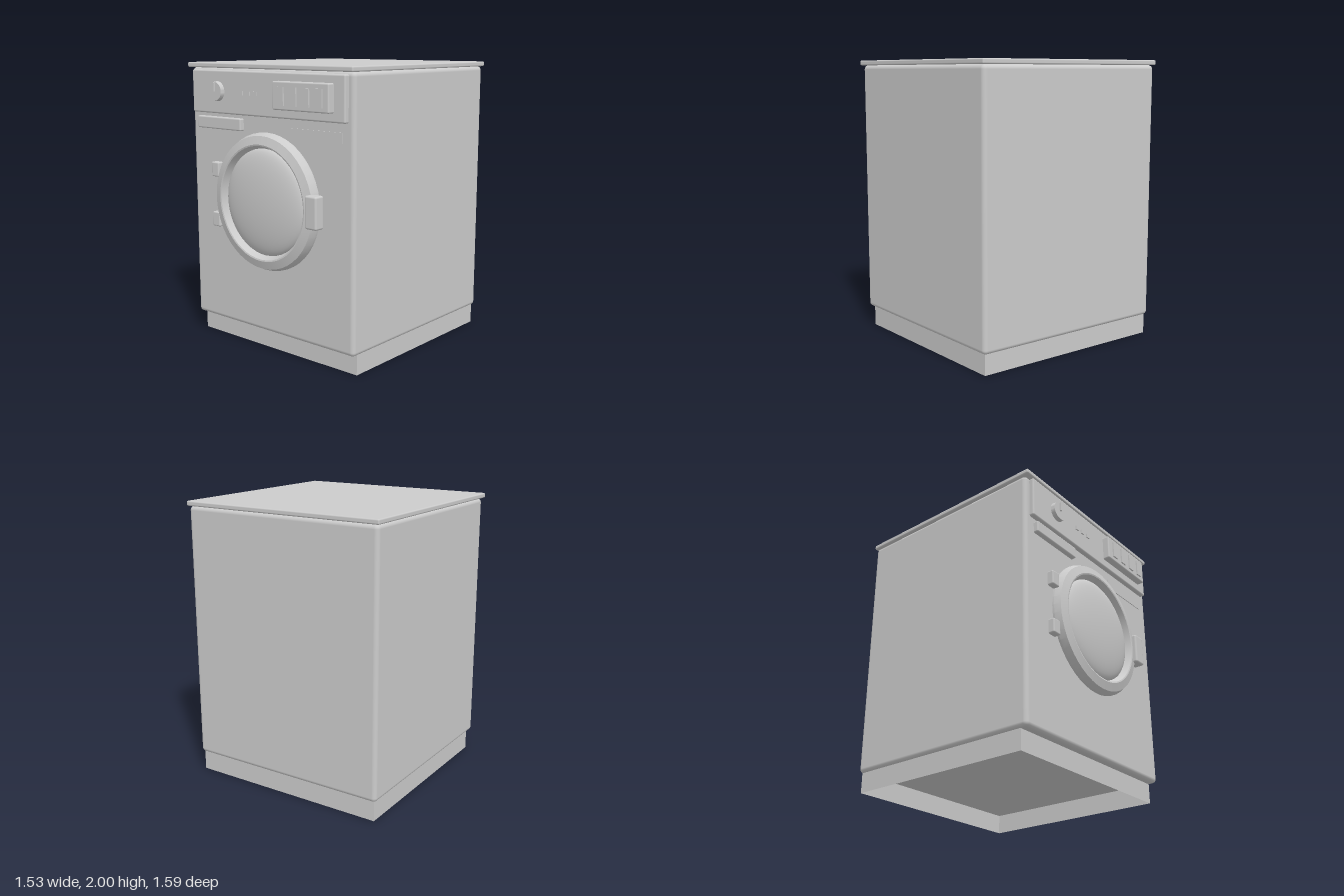
import * as THREE from 'three';
import { toCreasedNormals } from 'three/addons/utils/BufferGeometryUtils.js';
import { RoundedBoxGeometry } from 'three/addons/geometries/RoundedBoxGeometry.js';

const grey = new THREE.MeshStandardMaterial({ color: 0xcccccc });
const greyDouble = new THREE.MeshStandardMaterial({ color: 0xcccccc, side: THREE.DoubleSide });

export function createModel() {
  const model = new THREE.Group();
  model.name = 'washingMachine';

  const add = (name, geometry, x = 0, y = 0, z = 0, material = grey) => {
    const mesh = new THREE.Mesh(geometry, material);
    mesh.name = name;
    mesh.position.set(x, y, z);
    model.add(mesh);
    return mesh;
  };

  // Box given by its limits; a radius rounds its edges
  const box = (name, [x0, x1], [y0, y1], [z0, z1], radius = 0, segments = 2) => {
    const size = [x1 - x0, y1 - y0, z1 - z0];
    const geometry = radius
      ? new RoundedBoxGeometry(...size, segments, radius)
      : new THREE.BoxGeometry(...size);
    return add(name, geometry, (x0 + x1) / 2, (y0 + y1) / 2, (z0 + z1) / 2);
  };

  // Turned part whose axis points to the front; points are [radius, z]
  const turned = (name, points, x, y, material) => {
    const profile = points.map(([r, z]) => new THREE.Vector2(r, z));
    const geometry = toCreasedNormals(new THREE.LatheGeometry(profile, 48), 0.4);
    geometry.rotateX(Math.PI / 2);
    return add(name, geometry, x, y, 0, material);
  };

  // Cabinet and worktop
  box('cabinet', [-0.755, 0.755], [0.14, 1.965], [-0.785, 0.7], 0.03, 4);
  box('worktop', [-0.765, 0.765], [1.965, 2], [-0.795, 0.73], 0.01);

  // Plinth: thin skirt, open underneath
  const skirt = new THREE.CylinderGeometry(Math.SQRT1_2, Math.SQRT1_2, 1, 4, 1, true)
    .rotateY(Math.PI / 4)
    .scale(1.47, 0.16, 1.405);
  add('plinth', toCreasedNormals(skirt, 0.4), 0, 0.08, -0.0625, greyDouble);

  // Control panel, detergent drawer and label plate
  box('controlPanel', [-0.71, 0.71], [1.65, 1.95], [0.68, 0.735], 0.012);
  box('detergentDrawer', [-0.665, -0.225], [1.54, 1.625], [0.68, 0.735], 0.01);
  box('labelPlate', [0.225, 0.66], [1.52, 1.59], [0.69, 0.705]);

  // Programme knob with pointer
  turned('knob', [[0.07, 0.73], [0.065, 0.765], [0, 0.765]], -0.445, 1.805);
  box('knobPointer', [-0.453, -0.437], [1.805, 1.868], [0.75, 0.778]);

  // Indicator lamps
  for (let i = 0; i < 3; i++) {
    const x = -0.205 + i * 0.066;
    box('indicatorLamp', [x - 0.016, x + 0.016], [1.787, 1.815], [0.73, 0.743]);
  }

  // Push buttons on their raised block
  box('buttonBlock', [0.135, 0.62], [1.71, 1.895], [0.72, 0.785], 0.01);
  for (let i = 0; i < 4; i++) {
    const x = 0.215 + i * 0.11;
    box('pushButton', [x - 0.027, x + 0.027], [1.74, 1.86], [0.77, 0.795]);
  }

  // Door ring
  turned('doorRing', [
    [0.475, 0.69], [0.475, 0.715], [0.457, 0.758], [0.4, 0.775], [0.39, 0.772], [0.365, 0.715],
  ], 0, 1.07, greyDouble);

  // Domed door glass
  const dome = [];
  for (let i = 0; i <= 14; i++) {
    const a = (i / 14) * Math.PI / 2;
    dome.push([0.37 * Math.cos(a), 0.72 + 0.074 * Math.sin(a)]);
  }
  turned('doorGlass', dome, 0, 1.07);

  // Door hinges and handle
  for (const y of [0.84, 1.2]) {
    box('doorHinge', [-0.52, -0.447], [y, y + 0.105], [0.68, 0.745], 0.01);
  }
  box('doorHandle', [0.42, 0.52], [0.96, 1.18], [0.715, 0.795], 0.014);

  return model;
}
